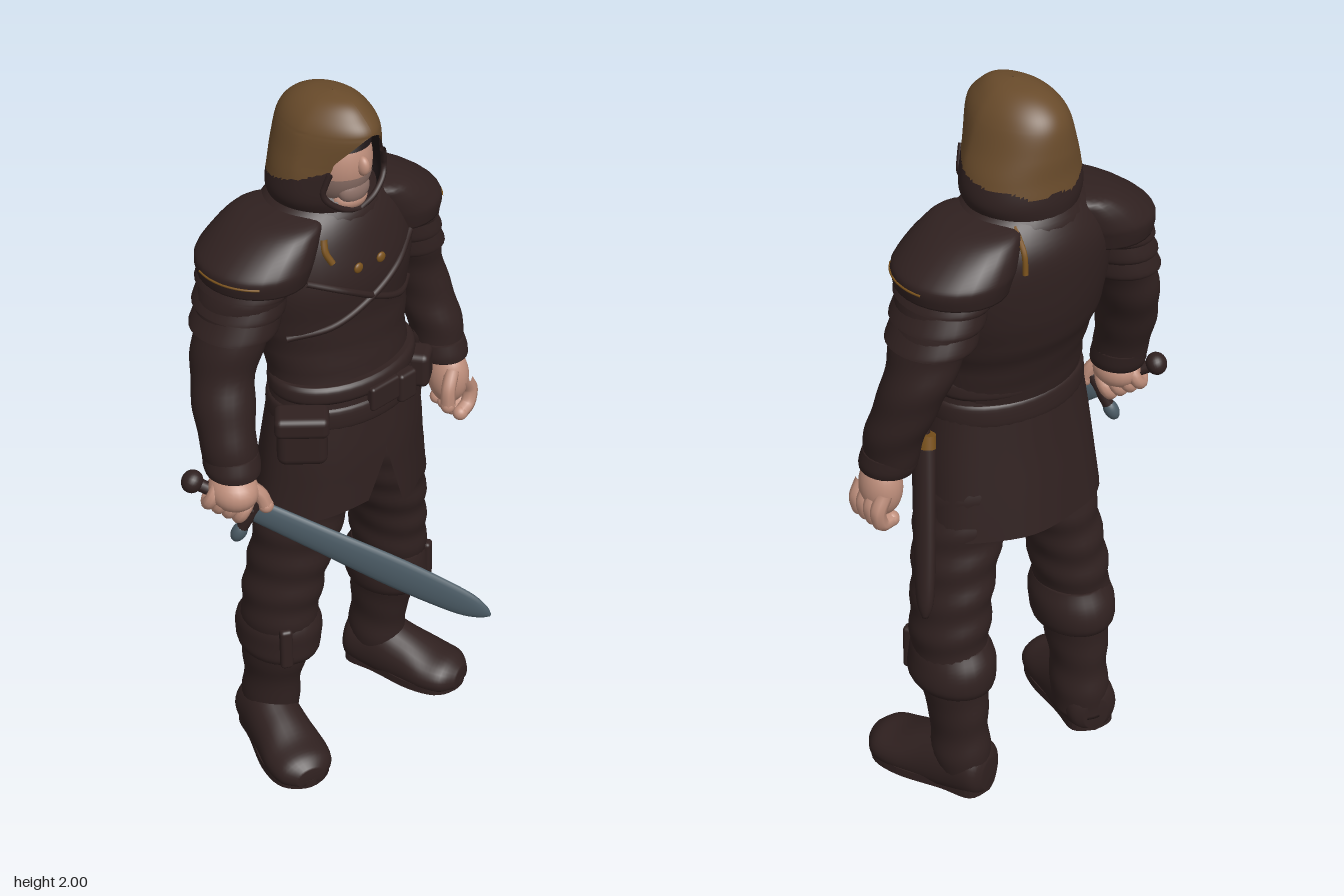
import * as THREE from 'three';
import { RoundedBoxGeometry } from 'three/addons/geometries/RoundedBoxGeometry.js';

const V = (x, y, z) => new THREE.Vector3(x, y, z);
const CX = 0.02; // body axis
const mat = (name, color, side = THREE.FrontSide) => {
  const m = new THREE.MeshStandardMaterial({ color, side });
  m.name = name;
  return m;
};

// Smooth interpolation of rows [x, y, z, rx, rz] at t (in row units)
function rowAt(rows, t) {
  const i = Math.min(Math.floor(t), rows.length - 2), f = t - i;
  const p = k => rows[Math.max(0, Math.min(rows.length - 1, k))];
  return rows[0].map((_, c) => {
    const a = p(i - 1)[c], b = p(i)[c], d = p(i + 1)[c], e = p(i + 2)[c];
    return b + 0.5 * f * (d - a + f * (2 * a - 5 * b + 4 * d - e + f * (3 * (b - d) + e - a)));
  });
}

// Elliptical rings stacked upward; gap(y) opens the front, fold(a, y) scales the ring, split() picks a second material
function loft(rows, { n = 28, sub = 5, gap, fold, split, caps = true } = {}) {
  const pos = [], idx = [[], []], steps = (rows.length - 1) * sub, w = gap ? n + 1 : n;
  for (let i = 0; i <= steps; i++) {
    const [x, y, z, rx, rz] = rowAt(rows, i / sub), g = gap ? gap(y) : 0;
    for (let j = 0; j < w; j++) {
      const a = g + (j / n) * (2 * Math.PI - 2 * g), k = fold ? fold(a, y) : 1;
      pos.push(x + rx * k * Math.sin(a), y, z + rz * k * Math.cos(a));
    }
  }
  const tri = (a, b, c) => {
    const q = k => (pos[a * 3 + k] + pos[b * 3 + k] + pos[c * 3 + k]) / 3;
    idx[split && split(q(0), q(1), q(2)) ? 1 : 0].push(a, b, c);
  };
  for (let i = 0; i < steps; i++) for (let j = 0; j < n; j++) {
    const a = i * w + j, b = i * w + (j + 1) % w;
    tri(a, b, b + w); tri(a, b + w, a + w);
  }
  if (caps) for (const [i, flip] of [[0, true], [steps, false]]) {
    const [x, y, z] = rowAt(rows, i / sub), c = pos.length / 3;
    pos.push(x, y, z);
    for (let j = 0; j < n; j++) {
      const a = i * w + j, b = i * w + (j + 1) % w;
      flip ? tri(c, b, a) : tri(c, a, b);
    }
  }
  const geo = new THREE.BufferGeometry();
  geo.setAttribute('position', new THREE.Float32BufferAttribute(pos, 3));
  geo.setIndex([...idx[0], ...idx[1]]);
  if (split) { geo.addGroup(0, idx[0].length, 0); geo.addGroup(idx[0].length, idx[1].length, 1); }
  geo.computeVertexNormals();
  return geo;
}

// Move every vertex by a rule
function bend(geo, rule) {
  const p = geo.attributes.position;
  for (let i = 0; i < p.count; i++) p.setXYZ(i, ...rule(p.getX(i), p.getY(i), p.getZ(i)));
  geo.computeVertexNormals();
  return geo;
}

export function createModel() {
  const g = new THREE.Group();
  g.name = 'hoodedSwordsman';
  const leather = mat('darkLeather', 0x302120, THREE.DoubleSide), hoodM = mat('brownHood', 0x694b2b, THREE.DoubleSide);
  const skin = mat('skin', 0xbf8f7c), beardM = mat('greyStubble', 0x90736a), steel = mat('steel', 0x4b5b65);
  const brass = mat('brass', 0x7a521c), shade = mat('blackCloth', 0x1e1617, THREE.DoubleSide);

  const add = (name, geo, m, parent = g) => {
    const o = new THREE.Mesh(geo, m);
    o.name = name; parent.add(o);
    return o;
  };
  const ball = (name, c, r, m, parent) => add(name, new THREE.SphereGeometry(1, 24, 16).scale(...r).translate(...c), m, parent);
  const box = (name, c, s, m, rot = 0) => {
    const o = add(name, new RoundedBoxGeometry(...s, 3, Math.min(...s) * 0.3), m);
    o.position.set(...c); o.rotation.y = rot;
  };
  const tube = (name, pts, r, m, parent) => add(name, new THREE.TubeGeometry(new THREE.CatmullRomCurve3(pts.map(p => V(...p))), 32, r, 8), m, parent);
  // Local y runs along d, local x stays as close to "up" as possible
  const orient = (o, at, d, up) => {
    const y = d.clone().normalize(), x = up.clone().addScaledVector(y, -y.dot(up)).normalize();
    o.applyMatrix4(new THREE.Matrix4().makeBasis(x, y, x.clone().cross(y)).setPosition(at));
    g.add(o);
  };
  const creases = (amp, f, ph = 0) => (a, y) => 1 + amp * Math.sin(y * f + 1.6 * Math.sin(a + ph) + ph);

  // Torso
  const torso = [[CX, 1.14, -.135, .212, .145], [CX, 1.28, -.16, .21, .148], [CX, 1.4, -.185, .232, .165],
    [CX, 1.52, -.19, .25, .178], [CX, 1.62, -.2, .235, .168], [CX, 1.69, -.2, .185, .14], [CX, 1.74, -.2, .1, .1]];
  add('jerkin', loft(torso, { n: 40, fold: (a, y) => 1 + (y < 1.42 ? .012 * Math.sin(y * 70 + 2 * Math.sin(a)) : 0) }), leather);
  const chest = (x, y, out = 0.002) => {
    let k = 0;
    while (k < 6 && rowAt(torso, k)[1] < y) k += 0.05;
    const [cx, , cz, rx, rz] = rowAt(torso, k);
    return [x, y, cz + out + rz * Math.sqrt(Math.max(0, 1 - ((x - cx) / rx) ** 2))];
  };
  const band = (name, pts, r, m) => tube(name, pts.map(p => chest(...p)), r, m);
  band('chestFold', [[-.19, 1.39], [-.1, 1.42], [0, 1.47], [.1, 1.52], [.2, 1.56]], .009, leather);
  band('chestFold', [[.22, 1.4], [.13, 1.42], [.04, 1.46], [-.07, 1.52], [-.16, 1.56]], .009, leather);
  band('brassCord', [[-.1, 1.66], [-.105, 1.63], [-.095, 1.6]], .009, brass);
  for (const x of [-.03, .045]) ball('brassStud', chest(x, 1.57), [.014, .014, .007], brass);
  tube('backCord', [[.125, 1.7, -.295], [.13, 1.68, -.318], [.135, 1.65, -.343], [.138, 1.6, -.351]], .007, brass);
  add('collar', loft([[CX, 1.655, -.2, .19, .148], [CX, 1.69, -.2, .165, .142], [CX, 1.73, -.2, .125, .12]], { caps: false }), leather);

  // Split skirt with a raised right front hem, belts and pouches
  const skirt = loft([[CX, .81, -.155, .272, .187], [CX, .92, -.148, .258, .178], [CX, 1.04, -.14, .243, .168], [CX, 1.2, -.137, .215, .15]],
    { n: 48, caps: false, gap: y => Math.max(0, 1.02 - y) * 1.1, fold: (a, y) => 1 + .045 * (1.2 - y) * Math.sin(a * 7) });
  add('skirt', bend(skirt, (x, y, z) => [x, y + Math.max(0, 1 - y) * Math.max(0, z + .15) * (x < CX ? 2 : 0), z]), leather);
  for (const [y, h, r] of [[1.12, .07, .01], [1.2, .05, .005]])
    add('belt', loft([[CX, y, -.137, .214, .148], [CX, y + .012, -.137, .216 + r, .15 + r], [CX, y + h - .012, -.137, .214 + r, .148 + r], [CX, y + h, -.14, .21, .146]], { n: 40 }), leather);
  box('beltBuckle', [.02, 1.19, .015], [.1, .07, .03], leather);
  box('beltKnot', [.095, 1.18, .02], [.06, .085, .035], leather);
  box('hipPouch', [-.2, 1.125, -.055], [.13, .14, .08], leather, -.75);
  box('hipPouchFlap', [-.203, 1.175, -.052], [.14, .06, .09], leather, -.75);
  box('smallPouch', [.2, 1.165, -.03], [.08, .1, .06], leather, .6);

  // Limbs, built once for each side
  for (const s of [1, -1]) {
    const rows = (list, c = CX) => list.map(([x, ...r]) => [c + s * x, ...r]);
    const side = s > 0 ? 'left' : 'right', LX = .036;
    add(side + 'Trouser', loft(rows([[.215, .42, -.19, .092, .11], [.205, .52, -.185, .1, .115], [.188, .63, -.175, .1, .118],
      [.158, .76, -.16, .113, .122], [.125, .9, -.15, .118, .13], [.11, 1.05, -.14, .1, .12]], LX), { sub: 8, fold: creases(.03, 62, s) }), leather);
    add(side + 'BootCuff', loft(rows([[.208, .345, -.2, .102, .122], [.209, .37, -.198, .108, .132], [.207, .43, -.193, .104, .128], [.204, .475, -.188, .09, .112]], LX),
      { fold: creases(.02, 50, s) }), leather);
    box(side + 'CuffStrap', [LX + s * .27, .41, -.1], [.035, .13, .035], leather, s * .5);
    add(side + 'BootShaft', loft(rows([[.208, .05, -.245, .07, .08], [.21, .12, -.235, .076, .09], [.21, .2, -.228, .07, .088],
      [.211, .29, -.215, .078, .1], [.21, .4, -.2, .09, .112]], LX), { fold: creases(.02, 55, s) }), leather);

    // Foot: rings run heel to toe, flattened under the sole
    const foot = new THREE.Group();
    foot.name = side + 'Foot';
    foot.position.set(.027 + s * .212, 0, -.25); foot.rotation.y = s * .3;
    g.add(foot);
    const shoe = loft([[0, -.075, -.06, .035, .05], [0, -.05, -.07, .07, .08], [0, .03, -.065, .078, .105], [0, .12, -.05, .084, .09],
      [0, .2, -.042, .092, .064], [0, .26, -.04, .08, .052], [0, .295, -.035, .04, .032]]).rotateX(Math.PI / 2);
    add('shoe', bend(shoe, (x, y, z) => [x, Math.max(.015, y), z]), leather, foot);
    const outline = [[0, .075], [.06, .05], [.07, -.04], [.09, -.17], [.072, -.26], [0, -.297], [-.072, -.26], [-.09, -.17], [-.07, -.04], [-.06, .05], [0, .075]];
    const sole = new THREE.Shape(new THREE.SplineCurve(outline.map(q => new THREE.Vector2(...q))).getPoints(50));
    add('sole', new THREE.ExtrudeGeometry(sole, { depth: .025, bevelEnabled: false }).rotateX(-Math.PI / 2).translate(0, .005, 0), leather, foot);

    // Sleeve, cuff and layered shoulder plates
    add(side + 'Sleeve', loft(rows([[.378, 1.06, -.145, .064, .07], [.372, 1.18, -.172, .074, .08], [.342, 1.31, -.21, .08, .088],
      [.295, 1.44, -.215, .092, .105], [.25, 1.56, -.21, .1, .125], [.2, 1.65, -.2, .07, .1]]), { sub: 7, fold: creases(.03, 48, s) }), leather);
    add(side + 'SleeveCuff', loft(rows([[.38, 1.06, -.142, .069, .074], [.379, 1.08, -.147, .072, .077], [.376, 1.115, -.155, .068, .075]])), leather);
    for (let k = 0; k < 3; k++) {
      const y = 1.43 + k * .055, x = .288 - k * .018;
      add(side + 'ShoulderLame', loft(rows([[x + .01, y, -.215, .104, .12 + k * .008], [x, y + .018, -.215, .104, .122 + k * .008], [x - .025, y + .09, -.21, .086, .112 + k * .006]]), { caps: false }), leather);
    }
    const plate = rows([[.228, 1.56, -.21, .134, .15], [.225, 1.595, -.21, .142, .157], [.212, 1.62, -.21, .14, .156],
      [.175, 1.665, -.207, .115, .142], [.14, 1.695, -.203, .085, .118], [.11, 1.71, -.2, .04, .05]]);
    add(side + 'Pauldron', loft(plate), leather);
    const [px, py, pz, prx, prz] = rowAt(plate, .9);
    tube(side + 'PauldronTrim', Array.from({ length: 7 }, (_, i) => {
      const a = s * (.7 + i * .2);
      return [px + prx * Math.sin(a), py, pz + prz * Math.cos(a)];
    }), .003, brass);
  }

  // Head, stubble and masked brow
  const head = (name, k, from, to, m) => add(name, new THREE.SphereGeometry(1, 32, 20, 0, Math.PI * 2, from, to - from)
    .scale(.09 * k, .122 * k, .105 * k).translate(.015, 1.822, -.155), m);
  head('face', 1, 0, Math.PI, skin);
  head('stubble', 1.015, 1.76, 2.55, beardM);
  head('browMask', 1.05, .2, 1.18, shade);
  ball('nose', [.015, 1.828, -.052], [.015, .026, .02], skin);
  ball('chin', [.015, 1.755, -.085], [.048, .04, .03], beardM);
  ball('jaw', [.015, 1.725, -.1], [.05, .03, .04], skin);

  // Hood narrowing to a peak at the front, with a dark cowl and lining
  const hoodRows = k => [[.022, 1.69, -.2, .128, .128], [.022, 1.74, -.195, .155, .138], [CX, 1.8, -.185, .15, .142], [.016, 1.86, -.174, .132, .15],
    [.013, 1.925, -.164, .11, .148], [.012, 1.965, -.164, .082, .116], [.012, 1.99, -.157, .046, .07], [.012, 2, -.15, .001, .001]]
    .map(([x, y, z, a, b]) => [x, 1.69 + (y - 1.69) * (k < 1 ? .975 : 1), z, a * k, b * k]);
  const peak = (x, y, z) => [.015 + (x - .015) * (1 - 1.6 * Math.max(0, z + .15) * Math.min(1, Math.max(0, (y - 1.74) / .1))), y, z];
  const gap = y => .78 * Math.sqrt(Math.max(0, Math.min(1, (1.925 - y) / .07, (y - 1.7) / .07)));
  add('hood', bend(loft(hoodRows(1), { n: 72, sub: 9, gap, caps: false, split: (x, y, z) => y > 1.775 + .24 * (z + .3) + .006 * Math.sin(x * 60) }), peak), [leather, hoodM]);
  add('hoodLining', bend(loft(hoodRows(.94), { n: 48, sub: 9, gap, caps: false }), peak), shade);
  for (const s of [1, -1])
    tube('cowlRim', Array.from({ length: 9 }, (_, i) => {
      const [x, y, z, a, b] = rowAt(hoodRows(1), .25 + i * .275), q = s * gap(y);
      return peak(x + a * Math.sin(q), y, z + b * Math.cos(q));
    }), .008, leather);

  // Relaxed left hand
  ball('leftPalm', [.405, .99, -.12], [.054, .085, .06], skin);
  for (let i = 0; i < 4; i++) {
    const z = -.075 - i * .029;
    tube('leftFinger', [[.425, .99, z], [.446, .945, z], [.433, .905, z + .004], [.4, .89 + i * .004, z + .008]], .021, skin);
    ball('leftFingertip', [.4, .89 + i * .004, z + .008], [.021, .021, .021], skin);
  }
  tube('leftThumb', [[.385, 1.03, -.085], [.358, .985, -.073], [.354, .935, -.07]], .02, skin);
  ball('leftThumbTip', [.354, .935, -.07], [.02, .022, .02], skin);

  // Sword held in the right hand
  const sword = new THREE.Group();
  sword.name = 'sword';
  const guardAt = V(-.345, .955, -.085), dir = V(.065, .63, .37).sub(guardAt), L = dir.length();
  add('blade', loft([[0, 0, 0, .036, .013], [0, .2, 0, .042, .014], [0, L * .6, 0, .049, .014], [0, L * .86, 0, .042, .013],
    [0, L * .96, 0, .024, .01], [0, L, 0, .004, .004]], { n: 16 }), steel, sword);
  add('crossguard', new THREE.CapsuleGeometry(.016, .11, 6, 12).rotateZ(Math.PI / 2).translate(-.02, 0, 0), leather, sword);
  ball('guardEnd', [-.085, 0, 0], [.032, .02, .02], steel, sword);
  add('grip', new THREE.CylinderGeometry(.017, .017, .17, 14).translate(0, -.085, 0), leather, sword);
  ball('pommel', [0, -.175, 0], [.031, .028, .031], leather, sword);
  for (let i = 0; i < 4; i++)
    add('rightFinger', new THREE.TorusGeometry(.033, .018, 10, 20).rotateX(Math.PI / 2).translate(0, -.028 - i * .029, 0), skin, sword);
  orient(sword, guardAt, dir, V(0, 1, 0));
  ball('rightPalm', [-.38, 1.018, -.12], [.062, .055, .07], skin);
  tube('rightThumb', [[-.36, 1.035, -.09], [-.335, 1.005, -.07], [-.325, .97, -.06]], .02, skin);
  ball('rightThumbTip', [-.325, .97, -.06], [.02, .02, .02], skin);

  // Scabbard hung from the left hip
  const scabbard = new THREE.Group();
  scabbard.name = 'scabbard';
  const top = V(.288, 1.1, -.145), down = V(.372, .63, -.25).sub(top), S = down.length();
  add('sheath', loft([[0, 0, 0, .038, .024], [0, S * .5, 0, .036, .022], [0, S * .88, 0, .028, .02], [0, S, 0, .008, .008]], { n: 16 }), leather, scabbard);
  add('sheathMouth', new THREE.CylinderGeometry(.039, .039, .035, 16).scale(1, 1, .65).translate(0, .012, 0), brass, scabbard);
  orient(scabbard, top, down, V(0, 0, 1));
  tube('scabbardHanger', [[.245, 1.2, -.12], [.275, 1.16, -.13], [.29, 1.07, -.15]], .017, leather);
  return g;
}
